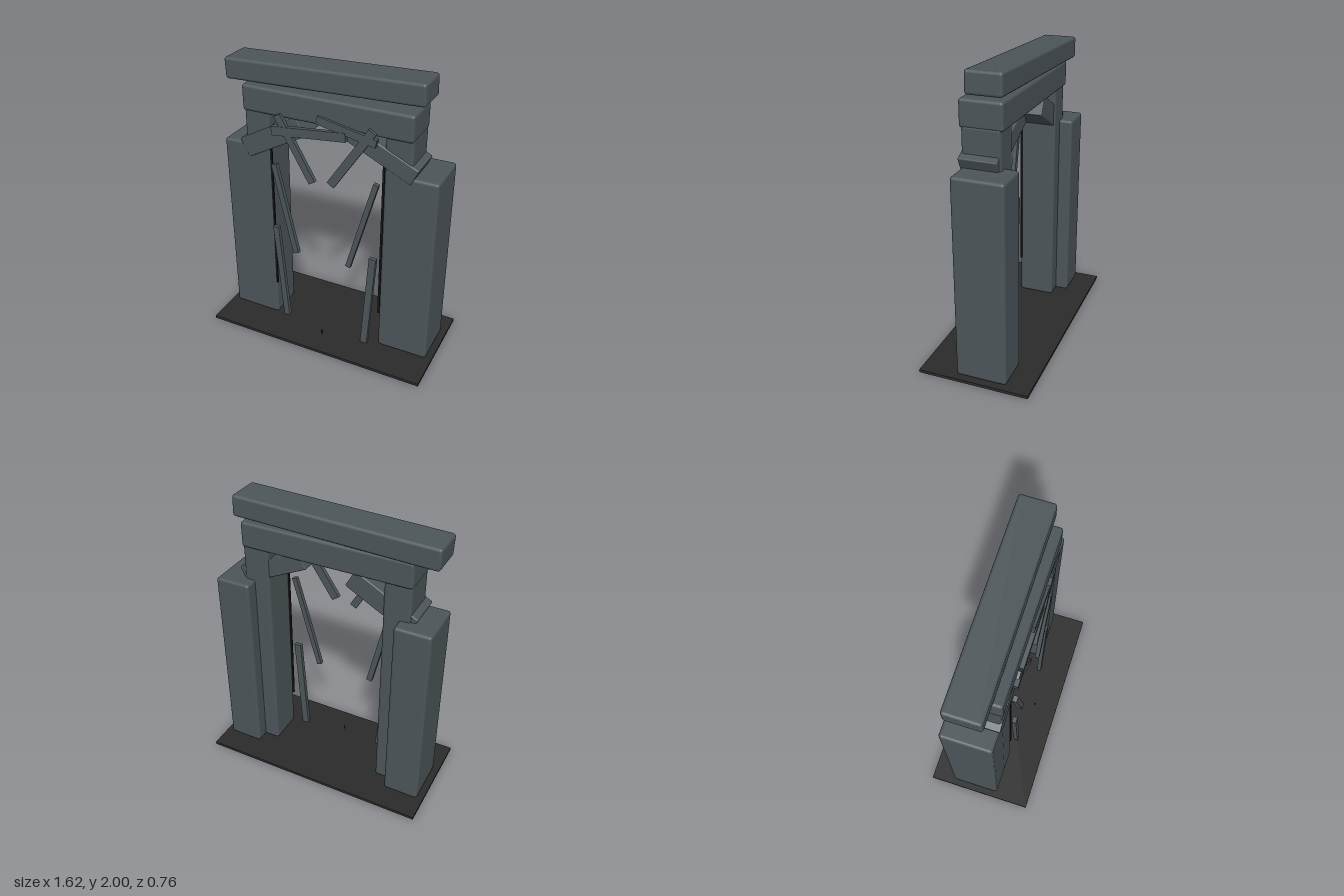
import * as THREE from 'three';
import { RoundedBoxGeometry } from 'three/addons/geometries/RoundedBoxGeometry.js';

export function createModel() {
  const model = new THREE.Group();
  const mat = (name, color) => {
    const m = new THREE.MeshStandardMaterial({ color });
    m.name = name;
    return m;
  };
  const stone = mat('slate stone', 0x4c5559);
  const ground = mat('dark ground', 0x2b2b2b);
  const black = mat('black seam', 0x151515);

  const add = (name, geometry, material, x, y, z, tilt = 0) => {
    const mesh = new THREE.Mesh(geometry, material);
    mesh.name = name;
    mesh.position.set(x, y, z);
    mesh.rotation.z = tilt;
    model.add(mesh);
    return mesh;
  };
  const block = (w, h, d, r = 0.02) => new RoundedBoxGeometry(w, h, d, 2, r);

  // Ground slab with a tiny marker pin
  add('groundSlab', new THREE.BoxGeometry(1.62, 0.02, 0.76), ground, 0, 0.01, 0);
  add('groundPin', new THREE.BoxGeometry(0.005, 0.04, 0.005), black, 0, 0.035, 0.205);

  // Mirrored pillars: a deep outer block, a taller inner post and a dark seam
  for (const s of [-1, 1]) {
    add('outerPillar', block(0.25, 1.38, 0.345), stone, s * 0.642, 0.71, -0.043);
    add('innerPillar', block(0.185, 1.64, 0.255), stone, s * 0.5, 0.84, 0.003);
    add('pillarSeam', new THREE.BoxGeometry(0.014, 1.2, 0.012), black, s * 0.405, 0.9, 0.125);
  }

  // Lintel and the tilted beam resting above it
  add('lintel', block(1.19, 0.18, 0.285), stone, -0.003, 1.73, 0.002);
  add('topBeam', block(1.39, 0.147, 0.24), stone, -0.063, 1.905, -0.035, 0.0324);

  // Heavy braces jammed under the lintel
  add('leftBrace', block(0.49, 0.14, 0.25, 0.008), stone, -0.39, 1.48, 0.012, 0.5);
  add('rightBrace', block(0.5, 0.118, 0.25, 0.008), stone, 0.385, 1.52, 0.012, -0.445);

  // Broken planks: start x, y, end x, y, width, z
  const planks = [
    [-0.332, 1.66, -0.085, 1.225, 0.05, 0.148],
    [-0.375, 1.545, 0.155, 1.602, 0.062, 0.151],
    [-0.045, 1.682, 0.361, 1.6, 0.055, 0.148],
    [0.335, 1.675, 0.05, 1.245, 0.058, 0.151],
    [-0.37, 1.298, -0.22, 0.635, 0.04, 0.148],
    [0.368, 1.32, 0.18, 0.642, 0.036, 0.148],
    [-0.375, 0.807, -0.313, 0.054, 0.043, 0.148],
    [0.36, 0.755, 0.31, 0.022, 0.05, 0.148],
  ];
  for (const [x1, y1, x2, y2, w, z] of planks) {
    const dx = x2 - x1, dy = y2 - y1;
    add('brokenPlank', new THREE.BoxGeometry(Math.hypot(dx, dy), w, 0.03), stone,
      (x1 + x2) / 2, (y1 + y2) / 2, z, Math.atan2(dy, dx));
  }
  return model;
}
